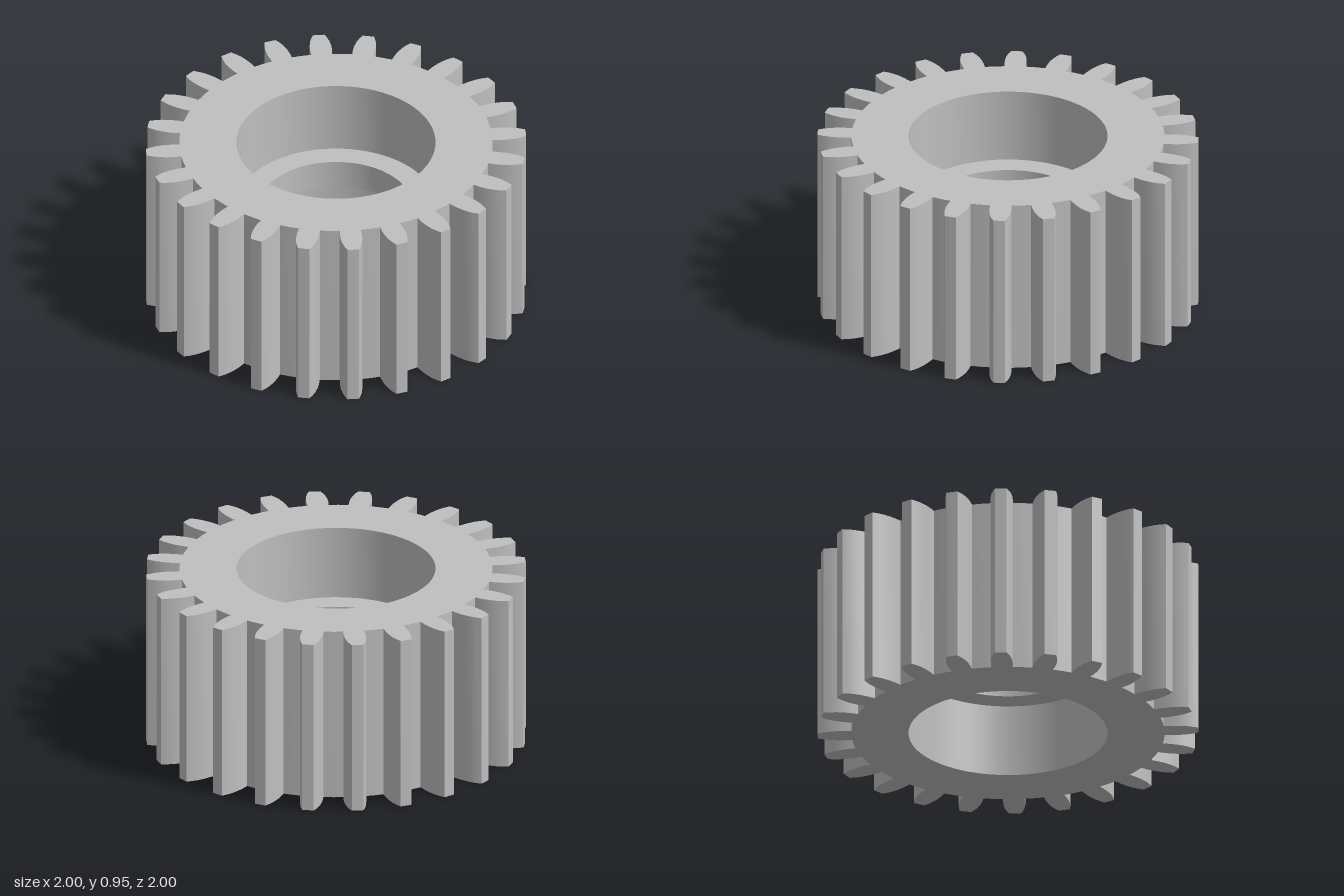
import * as THREE from 'three';
import { toCreasedNormals } from 'three/addons/utils/BufferGeometryUtils.js';

const TEETH = 24;
const HEIGHT = 0.955;
const BORE = 0.525;
const HOLE = 0.4;
const ROOT = 0.826;

// Half tooth flank from root to tip: [radius, half thickness]
const FLANK = [
  [ROOT, 0.0555], [0.865, 0.058], [0.905, 0.0572], [0.945, 0.0515], [0.975, 0.043], [1.005, 0.0305],
];

function gearOutline() {
  const points = [];
  const add = (radius, angle) =>
    points.push(new THREE.Vector2(radius * Math.cos(angle), radius * Math.sin(angle)));
  const pitch = (Math.PI * 2) / TEETH;
  for (let i = 0; i < TEETH; i++) {
    const axis = (i + 0.5) * pitch;
    add(ROOT, axis - pitch / 2); // middle of the valley
    for (const [r, half] of FLANK) add(r, axis - Math.asin(half / r));
    add(1.005, axis);
    for (const [r, half] of [...FLANK].reverse()) add(r, axis + Math.asin(half / r));
  }
  return new THREE.Shape(points);
}

export function createModel() {
  const group = new THREE.Group();
  group.name = 'spurGear';
  const steel = new THREE.MeshStandardMaterial({ color: 0xbfbfbf });
  steel.name = 'steel grey';

  // Toothed body with the wide bore
  const outline = gearOutline();
  const bore = new THREE.Path();
  bore.absarc(0, 0, BORE, 0, Math.PI * 2, true);
  outline.holes.push(bore);
  const bodyGeometry = new THREE.ExtrudeGeometry(outline, {
    depth: HEIGHT, bevelEnabled: false, curveSegments: 48,
  });
  bodyGeometry.rotateX(-Math.PI / 2);
  const body = new THREE.Mesh(toCreasedNormals(bodyGeometry, 0.5), steel);
  body.name = 'toothedBody';
  group.add(body);

  // Shoulder ring halfway down the bore
  const profile = [[BORE, 0.555], [HOLE, 0.555], [HOLE, 0.4], [BORE, 0.4]]
    .map(([r, y]) => new THREE.Vector2(r, y));
  const ringGeometry = toCreasedNormals(new THREE.LatheGeometry(profile, 96), 0.5);
  const ring = new THREE.Mesh(ringGeometry, steel);
  ring.name = 'boreShoulder';
  group.add(ring);

  return group;
}
